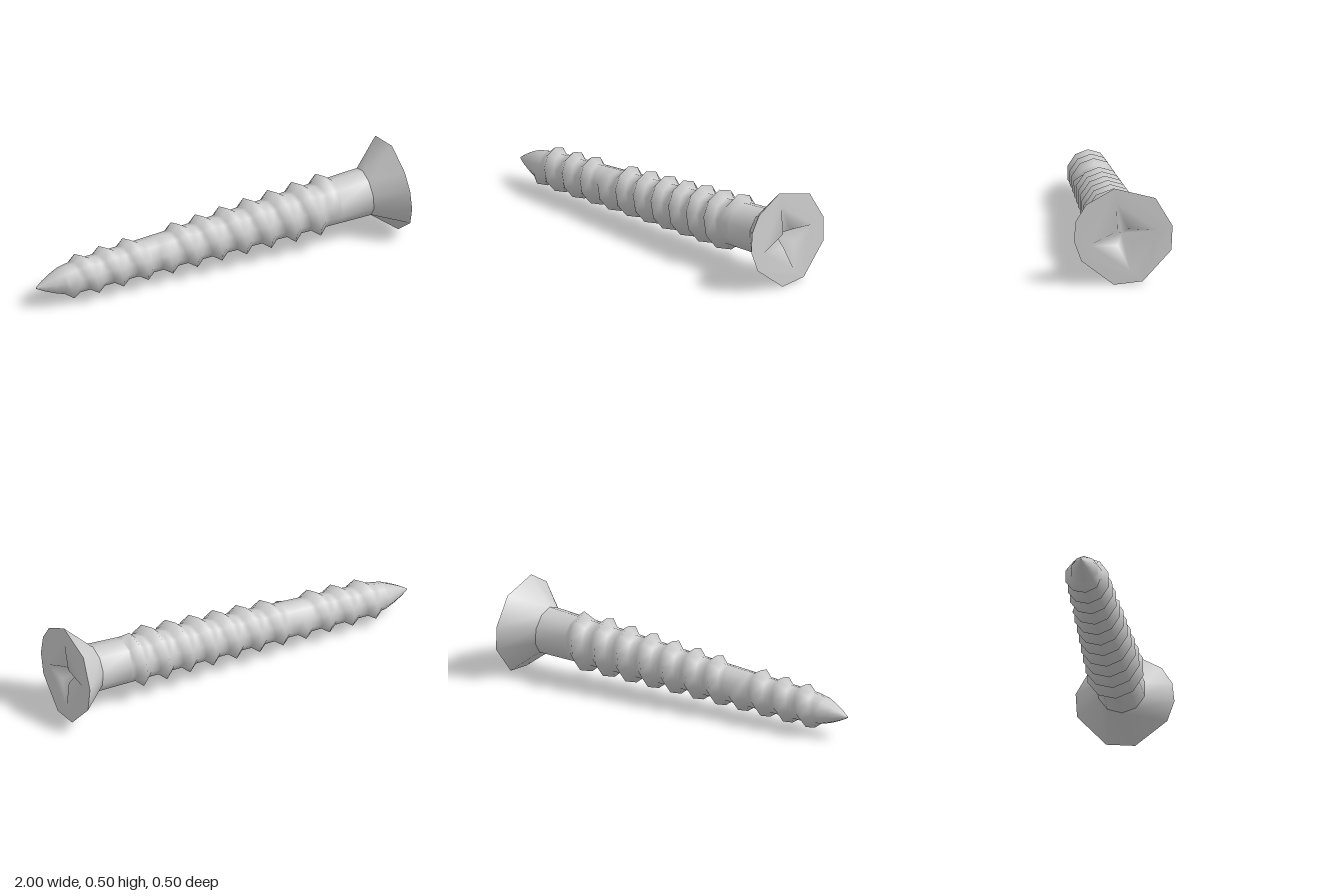
import * as THREE from 'three';
import { mergeVertices } from 'three/addons/utils/BufferGeometryUtils.js';

const SIDES = 10, PITCH = 0.136, FIRST_CREST = -0.806;
const THREAD_START = -0.86, THREAD_END = 0.66, FACE = 0.982;

// Point at axial position s with offsets dy, dz from the slightly tilted axis
function place(s, dy, dz) {
  return [s - 0.063 * dy + 0.053 * dz, 0.125 + 0.063 * (s + 1) + dy, 0.105 - 0.053 * (s + 1) + dz];
}

// Core radius along the axis, linear between stations
const CORE = [[-1, 0.004], [-0.96, 0.028], [-0.91, 0.052], [-0.86, 0.071], [-0.78, 0.083], [0, 0.1], [0.6, 0.118], [0.83, 0.124]];
function coreRadius(s) {
  for (let i = 1; i < CORE.length; i++) {
    const [s0, r0] = CORE[i - 1], [s1, r1] = CORE[i];
    if (s <= s1) return r0 + (r1 - r0) * (s - s0) / (s1 - s0);
  }
  return CORE[CORE.length - 1][1];
}

// Ridge height: none past the ends, and one worn stretch near the tip
function threadHeight(s) {
  if (s < -0.83 || s > 0.63 || (s > -0.37 && s < -0.31)) return 0;
  return 0.033 + 0.007 * s;
}

// Ring point: turn 0 is at the bottom, 0.25 at the back, 0.5 at the top
function ringPoint(s, r, turn) {
  const a = turn * Math.PI * 2;
  return place(s, -r * Math.cos(a), -r * Math.sin(a));
}

function makeMesh(name, positions, index) {
  let g = new THREE.BufferGeometry();
  g.setAttribute('position', new THREE.Float32BufferAttribute(positions.flat(), 3));
  g.setIndex(index);
  g = mergeVertices(g, 1e-5);
  g.computeVertexNormals();
  const mesh = new THREE.Mesh(g, new THREE.MeshStandardMaterial({ color: 0xcccccc }));
  mesh.name = name;
  return mesh;
}

// Skin through rows of SIDES + 1 points
function skin(name, rows) {
  const index = [], w = SIDES + 1;
  for (let j = 0; j < rows.length - 1; j++) {
    for (let i = 0; i < SIDES; i++) {
      const a = j * w + i, b = a + 1, c = a + w, d = c + 1;
      index.push(a, b, c, b, d, c);
    }
  }
  return makeMesh(name, rows.flat(), index);
}

const row = (fn) => Array.from({ length: SIDES + 1 }, (_, i) => fn(i / SIDES, i % SIDES));
const plainRing = (s) => row((t) => ringPoint(s, coreRadius(s), t));

// Slightly irregular rim of the head as [dy, dz], from the bottom round by the back
const RIM = [[-0.247, 0.05], [-0.233, -0.098], [-0.075, -0.245], [0.05, -0.251], [0.195, -0.165],
  [0.25, 0.045], [0.17, 0.19], [0.085, 0.243], [-0.015, 0.253], [-0.12, 0.215]];

// Cross recess outline as [right, up] seen from the head end, counter-clockwise
const CROSS = [[0.175, 0.028], [0.025, 0.04], [-0.035, 0.175], [-0.03, 0.03],
  [-0.17, -0.04], [-0.03, -0.045], [0.035, -0.18], [0.04, -0.03]];

export function createModel() {
  const group = new THREE.Group();
  group.name = 'screw';

  // Pointed tip, closed by a tiny end
  const tip = [row(() => place(-1.0, 0, 0)), ...[-1, -0.96, -0.91].map(plainRing)];

  // Helical thread: every row climbs one pitch per turn, clamped at both ends
  const thread = [];
  for (let k = -2; k <= 11; k++) {
    for (const f of [0, 0.3, 0.5, 0.7]) {
      thread.push(row((t, i) => {
        // the closing column uses the true turn so that it joins the next pitch
        const crest = FIRST_CREST + (k + t) * PITCH;
        const s = THREE.MathUtils.clamp(crest + f * PITCH, THREAD_START, THREAD_END);
        const r = coreRadius(s) + (f === 0 ? threadHeight(crest) : 0);
        return ringPoint(s, r, t);
      }));
    }
  }
  group.add(skin('threadedShaft', [...tip, ...thread, plainRing(0.83)]));

  // Countersunk underside of the head
  const rimRow = row((t, i) => place(FACE, RIM[i][0], RIM[i][1]));
  group.add(skin('headCone', [plainRing(0.83), rimRow]));

  // Flat face with the cross cut out
  const shape = new THREE.Shape(RIM.map(([dy, dz]) => new THREE.Vector2(-dz, dy)));
  shape.holes.push(new THREE.Path(CROSS.map(([u, v]) => new THREE.Vector2(u, v))));
  const flat = new THREE.ShapeGeometry(shape);
  const p = flat.attributes.position;
  const facePoints = Array.from({ length: p.count }, (_, i) => place(FACE, p.getY(i), -p.getX(i)));
  const faceIndex = Array.from(flat.index.array);

  // Recess floor sloping from the cross outline down to its centre
  const base = facePoints.length;
  facePoints.push(place(FACE - 0.09, 0, 0), ...CROSS.map(([u, v]) => place(FACE, v, -u)));
  CROSS.forEach((_, i) => faceIndex.push(base, base + 1 + i, base + 1 + (i + 1) % CROSS.length));
  group.add(makeMesh('headFaceWithCrossRecess', facePoints, faceIndex));

  return group;
}
